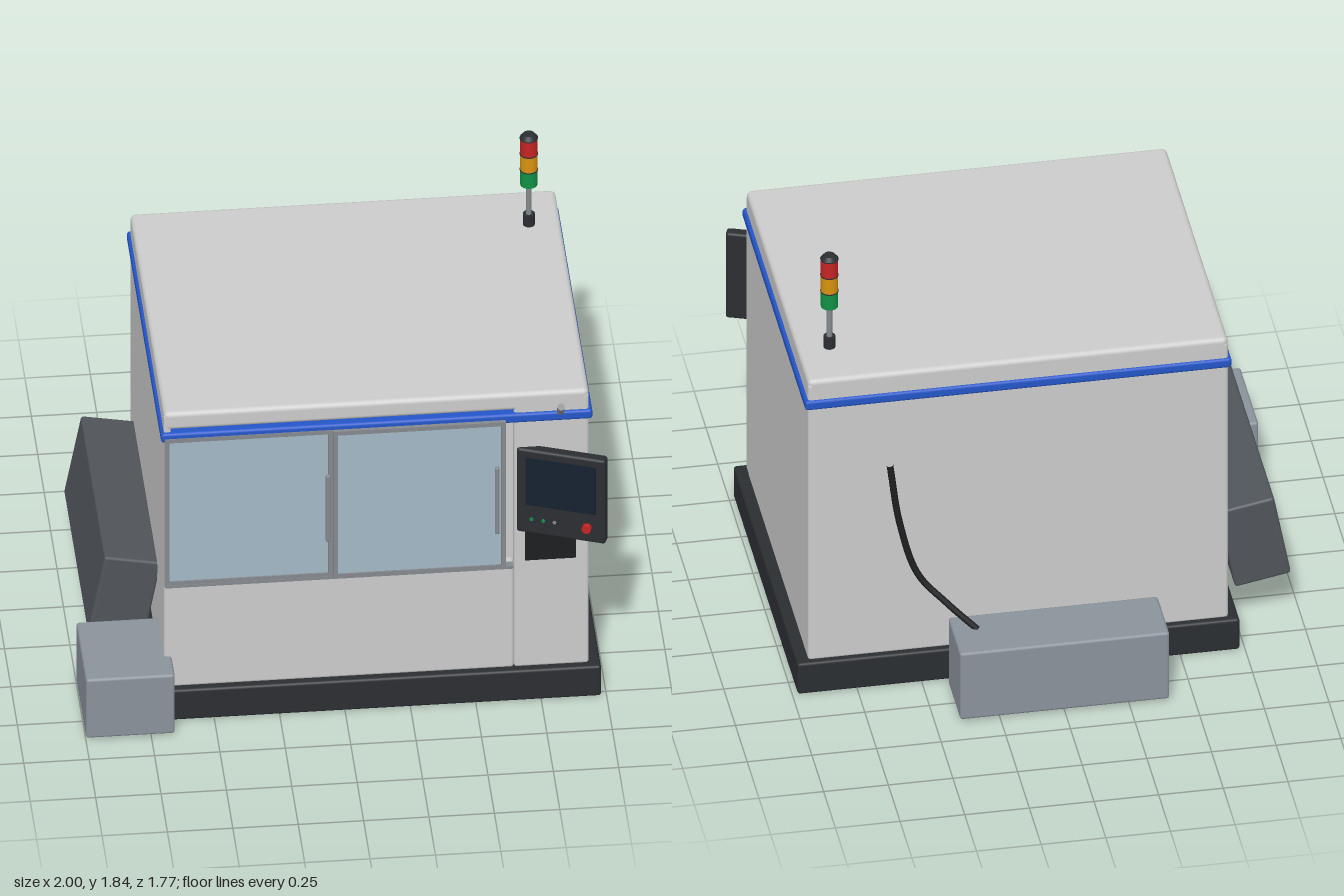
import * as THREE from 'three';
import { RoundedBoxGeometry } from 'three/addons/geometries/RoundedBoxGeometry.js';

const material = (color) => new THREE.MeshStandardMaterial({ color });
const shell = material(0xcccccc);
const dark = material(0x2b2e32);
const black = material(0x1c1e20);
const steel = material(0x8a929b);
const conveyorGrey = material(0x50555a);
const frameGrey = material(0x85898d);
const blue = material(0x2456c8);
const glass = material(0xa3b9c6);
const screenBlue = material(0x152230);
const red = material(0xc42424);
const amber = material(0xd8920f);
const green = material(0x129145);

function add(parent, name, geometry, mat, x = 0, y = 0, z = 0) {
  const mesh = new THREE.Mesh(geometry, mat);
  mesh.name = name;
  mesh.position.set(x, y, z);
  parent.add(mesh);
  return mesh;
}

// Box given by its limits on each axis, with optional rounded edges
function block(parent, name, mat, [x0, x1], [y0, y1], [z0, z1], r = 0) {
  const size = [x1 - x0, y1 - y0, z1 - z0];
  const geometry = r ? new RoundedBoxGeometry(...size, 3, r) : new THREE.BoxGeometry(...size);
  return add(parent, name, geometry, mat, (x0 + x1) / 2, (y0 + y1) / 2, (z0 + z1) / 2);
}

function cylinder(parent, name, mat, r, y0, y1, topR = r) {
  return add(parent, name, new THREE.CylinderGeometry(topR, r, y1 - y0, 24), mat, 0, (y0 + y1) / 2, 0);
}

// Framed sliding door with a bar handle
function door(parent, name, x0, x1, z, handleX) {
  const group = new THREE.Group();
  group.name = name;
  const y0 = 0.625, y1 = 1.31, t = 0.018;
  const depth = [z - 0.01, z + 0.01];
  for (const x of [x0, x1 - t]) block(group, 'doorStile', frameGrey, [x, x + t], [y0, y1], depth);
  for (const y of [y0, y1 - t]) block(group, 'doorRail', frameGrey, [x0 + t, x1 - t], [y, y + t], depth);
  block(group, 'doorGlass', glass, [x0 + t, x1 - t], [y0 + t, y1 - t], [z - 0.005, z + 0.004]);
  block(group, 'doorHandle', frameGrey, [handleX - 0.009, handleX + 0.009], [0.8, 1.11], [z + 0.014, z + 0.03], 0.006);
  for (const y of [0.83, 1.08])
    block(group, 'handleMount', frameGrey, [handleX - 0.006, handleX + 0.006], [y - 0.008, y + 0.008], [z, z + 0.018]);
  parent.add(group);
}

export function createModel() {
  const model = new THREE.Group();
  model.name = 'machiningCentre';

  // Plinth and cabinet, with a recess behind the doors
  block(model, 'plinth', dark, [-0.73, 0.98], [0, 0.14], [-0.59, 0.78], 0.012);
  block(model, 'cabinetCore', shell, [-0.69, 0.935], [0.135, 1.4], [-0.565, 0.71], 0.012);
  block(model, 'lowerFrontPanel', shell, [-0.69, 0.648], [0.14, 0.625], [0.66, 0.755], 0.012);
  block(model, 'controlColumn', shell, [0.648, 0.935], [0.14, 1.4], [0.66, 0.755], 0.012);
  block(model, 'doorJamb', shell, [-0.69, -0.665], [0.6, 1.4], [0.68, 0.752]);
  block(model, 'roof', shell, [-0.69, 0.935], [1.34, 1.42], [-0.565, 0.755], 0.02);
  block(model, 'trimBand', blue, [-0.702, 0.948], [1.29, 1.332], [-0.575, 0.767], 0.012);

  // Sliding doors on overlapping tracks
  door(model, 'leftDoor', -0.688, -0.045, 0.76, -0.065);
  door(model, 'rightDoor', -0.045, 0.615, 0.772, 0.58);
  block(model, 'doorTrack', frameGrey, [-0.688, 0.645], [0.615, 0.627], [0.74, 0.772]);

  // Swivelled control console
  const consoleGroup = new THREE.Group();
  consoleGroup.name = 'controlConsole';
  consoleGroup.position.set(0.828, 0.975, 0.8);
  consoleGroup.rotation.y = -0.35;
  block(consoleGroup, 'consoleCase', dark, [-0.175, 0.175], [-0.195, 0.195], [-0.023, 0.023], 0.012);
  block(consoleGroup, 'screen', screenBlue, [-0.138, 0.138], [-0.06, 0.16], [0.015, 0.026]);
  const button = (name, mat, x, r, depth) => {
    const mesh = add(consoleGroup, name, new THREE.CylinderGeometry(r, r, depth, 20), mat, x, -0.124, 0.022 + depth / 2);
    mesh.rotation.x = Math.PI / 2;
  };
  [[-0.114, green], [-0.068, green], [-0.024, frameGrey]].forEach(([x, mat]) => button('indicator', mat, x, 0.007, 0.006));
  button('emergencyStop', red, 0.104, 0.018, 0.02);
  model.add(consoleGroup);
  block(model, 'consoleBracket', black, [0.69, 0.885], [0.645, 0.82], [0.74, 0.765]);

  // Small tilted nozzle above the control column
  const nozzle = add(model, 'nozzle', new THREE.CylinderGeometry(0.014, 0.014, 0.07, 16), frameGrey, 0.825, 1.345, 0.77);
  nozzle.rotation.x = 0.65;

  // Signal tower
  const tower = new THREE.Group();
  tower.name = 'signalTower';
  tower.position.set(0.813, 0, -0.345);
  cylinder(tower, 'towerFoot', dark, 0.023, 1.415, 1.47);
  cylinder(tower, 'towerPole', frameGrey, 0.011, 1.47, 1.61);
  [green, amber, red].forEach((mat, i) => {
    const y = 1.607 + i * 0.073;
    cylinder(tower, 'signalLamp', mat, 0.033, y, y + 0.069);
    cylinder(tower, 'lampRing', dark, 0.035, y + 0.069, y + 0.073);
  });
  cylinder(tower, 'towerCap', dark, 0.034, 1.826, 1.842, 0.022);
  model.add(tower);

  // Coolant tank, chip bin and tilted conveyor
  block(model, 'rearTank', steel, [-0.405, 0.405], [0.01, 0.315], [-0.885, -0.628], 0.012);
  block(model, 'chipBin', steel, [-1, -0.66], [0.01, 0.285], [0.495, 0.88], 0.012);
  const conveyor = add(model, 'chipConveyor', new RoundedBoxGeometry(0.22, 0.36, 0.935, 3, 0.012), conveyorGrey, -0.815, 0.38, 0.028);
  conveyor.rotation.z = -0.185;

  // Hose from the back wall to the tank
  const hosePath = new THREE.CatmullRomCurve3([
    [0.62, 1.0, -0.57], [0.585, 0.74, -0.59], [0.52, 0.52, -0.62], [0.42, 0.41, -0.668], [0.31, 0.31, -0.722],
  ].map((p) => new THREE.Vector3(...p)));
  add(model, 'hose', new THREE.TubeGeometry(hosePath, 40, 0.013, 12), black);

  return model;
}
